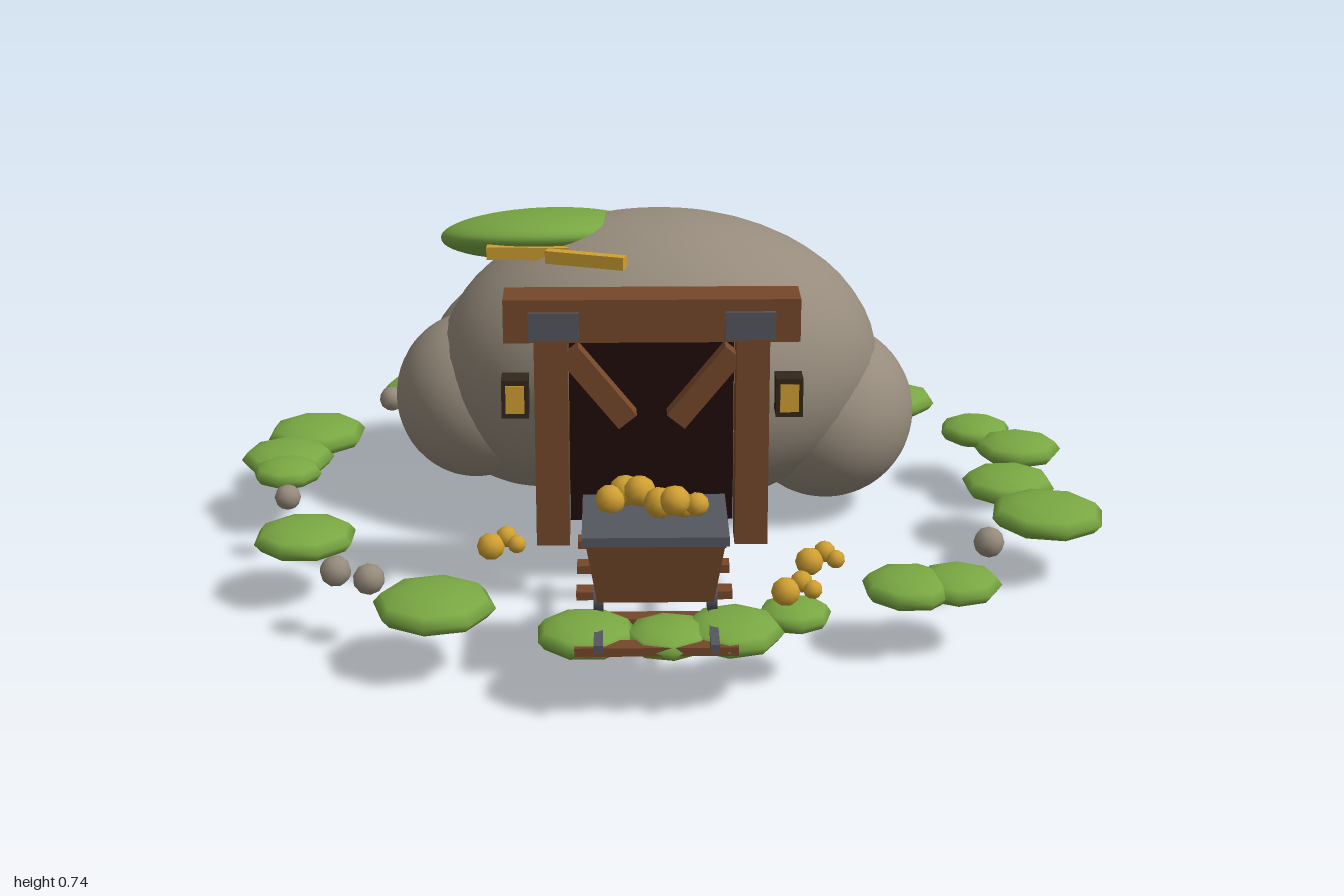
import * as THREE from 'three';

const mat = (name, color, extra = {}) => {
  const m = new THREE.MeshStandardMaterial({ color, ...extra });
  m.name = name;
  return m;
};

export function createModel() {
  const stone = mat('stone', 0x968b7c);
  const grass = mat('grass', 0x7aa843);
  const wood = mat('wood', 0x75482a);
  const iron = mat('iron', 0x54575f);
  const dark = mat('tunnelDark', 0x210b0b);
  const casing = mat('lanternCasing', 0x33271c);
  const gold = mat('gold', 0xd0a032);
  const model = new THREE.Group();
  const CX = -0.025; // shared centre line of portal, rails and cart

  const add = (name, geo, material, pos, rot = [0, 0, 0], scale = [1, 1, 1], parent = model) => {
    const m = new THREE.Mesh(geo, material);
    m.name = name;
    m.position.set(...pos);
    m.rotation.set(...rot);
    m.scale.set(...scale);
    parent.add(m);
    return m;
  };
  const box = (name, material, size, pos, rot) =>
    add(name, new THREE.BoxGeometry(...size), material, pos, rot);

  // Hill made of merged boulders: centre, radii
  const ball = new THREE.SphereGeometry(1, 40, 28);
  [
    [[0, 0.385, -0.23], [0.52, 0.355, 0.39]],
    [[0.4, 0.25, -0.23], [0.212, 0.21, 0.23]],
    [[-0.44, 0.29, -0.24], [0.19, 0.2, 0.19]],
    [[-0.285, 0.28, -0.41], [0.29, 0.275, 0.28]],
    [[0.23, 0.29, -0.46], [0.24, 0.26, 0.235]],
    [[0.06, 0.3, -0.55], [0.16, 0.17, 0.155]],
    [[0.39, 0.24, -0.35], [0.18, 0.2, 0.17]],
    [[-0.11, 0.3, -0.54], [0.14, 0.16, 0.14]],
  ].forEach(([p, r]) => add('boulder', ball, stone, p, [0, 0, 0], r));

  // Grass cap and gold bars on top of the hill
  add('grassCap', ball, grass, [-0.275, 0.665, -0.33], [-0.2, 0, 0.04], [0.245, 0.06, 0.225]);
  box('goldBar', gold, [0.19, 0.03, 0.025], [-0.305, 0.675, -0.12], [0, -0.05, 0]);
  box('goldBar', gold, [0.19, 0.03, 0.025], [-0.17, 0.683, -0.03], [0, -0.34, 0]);

  // Mine portal
  box('tunnelOpening', dark, [0.36, 0.43, 0.035], [CX, 0.385, 0.265]);
  box('lintel', wood, [0.635, 0.095, 0.1], [CX, 0.66, 0.325]);
  for (const s of [-1, 1]) {
    box('post', wood, [0.072, 0.47, 0.085], [CX + s * 0.217, 0.38, 0.328]);
    box('brace', wood, [0.05, 0.2, 0.045], [CX + s * 0.115, 0.5, 0.325], [0, 0, -s * 0.68]);
    box('ironPlate', iron, [0.108, 0.062, 0.012], [CX + s * 0.21, 0.65, 0.377]);
    box('lanternCase', casing, [0.058, 0.085, 0.055], [CX + s * 0.293, 0.5, 0.39]);
    box('lanternGlass', gold, [0.04, 0.062, 0.061], [CX + s * 0.293, 0.5, 0.39]);
  }

  // Track
  for (const s of [-1, 1])
    box('rail', iron, [0.018, 0.018, 0.65], [CX + s * 0.115, 0.172, 0.65]);
  for (let i = 0; i < 5; i++)
    box('sleeper', wood, [0.325, 0.018, 0.04], [CX, 0.155, 0.375 + i * 0.139]);

  // Ore cart: tapered tub, rim and wheels
  const tub = new THREE.BoxGeometry(0.28, 0.135, 0.225);
  const tp = tub.attributes.position;
  for (let i = 0; i < tp.count; i++)
    if (tp.getY(i) < 0) tp.setXYZ(i, tp.getX(i) * 0.84, tp.getY(i), tp.getZ(i) * 0.84);
  tub.computeVertexNormals();
  add('cartTub', tub, wood, [CX, 0.272, 0.725]);
  box('cartRim', iron, [0.295, 0.02, 0.24], [CX, 0.345, 0.725]);
  const wheel = new THREE.CylinderGeometry(0.028, 0.028, 0.02, 12).rotateZ(Math.PI / 2);
  const axle = new THREE.CylinderGeometry(0.009, 0.009, 0.22, 8).rotateZ(Math.PI / 2);
  for (const z of [0.66, 0.79]) {
    add('axle', axle, iron, [CX, 0.202, z]);
    for (const s of [-1, 1]) add('wheel', wheel, iron, [CX + s * 0.115, 0.204, z]);
  }

  // Gold nuggets in the cart: x, z, radius
  const nugget = new THREE.IcosahedronGeometry(1, 1);
  [
    [-0.115, 0.685, 0.032], [-0.085, 0.665, 0.033], [-0.055, 0.7, 0.033], [-0.025, 0.69, 0.024],
    [-0.015, 0.735, 0.033], [0.015, 0.755, 0.032], [0.035, 0.72, 0.026], [0.06, 0.745, 0.025],
  ].forEach(([x, z, r], i) =>
    add('cartNugget', nugget, gold, [x, 0.375 + (i % 3) * 0.012, z], [i, i * 2, 0], [r, r, r]));

  // Gold piles on the ground
  for (const [x, z] of [[-0.355, 0.525], [0.315, 0.62], [0.255, 0.778]])
    [[-0.015, 0.21, 0.005, 0.03], [0.018, 0.225, -0.012, 0.023], [0.04, 0.215, 0.006, 0.02]].forEach(
      ([dx, y, dz, r], i) => add('groundNugget', nugget, gold, [x + dx, y, z + dz], [i, i, 0], [r, r, r]));

  // Ring of grass clumps: x, z, radius
  const clump = new THREE.SphereGeometry(1, 8, 6);
  [
    [-0.15, -0.875, 0.105], [0.18, -0.87, 0.115], [0.4, -0.8, 0.108], [0.455, -0.695, 0.1],
    [0.61, -0.575, 0.1], [0.785, -0.34, 0.088], [0.87, -0.21, 0.1], [0.81, 0.03, 0.108],
    [0.87, 0.225, 0.128], [0.615, 0.615, 0.092], [0.51, 0.63, 0.1], [0.26, 0.765, 0.075],
    [0.13, 0.845, 0.105], [-0.165, 0.855, 0.102], [0, 0.87, 0.09], [-0.48, 0.705, 0.128],
    [-0.79, 0.33, 0.112], [-0.89, -0.175, 0.11], [-0.88, -0.08, 0.08], [-0.84, -0.345, 0.12],
    [-0.59, -0.675, 0.115],
  ].forEach(([x, z, r], i) =>
    add('grassClump', clump, grass, [x, 0.152, z], [0, i * 1.3, 0], [r, 0.02 + r * 0.16, r * 1.03]));

  // Loose stones: x, z, radius
  const pebble = new THREE.IcosahedronGeometry(1, 1);
  [
    [-0.04, -0.86, 0.052], [-0.45, -0.75, 0.032], [-0.675, -0.58, 0.032], [-0.855, 0.11, 0.03],
    [-0.7, 0.545, 0.034], [-0.625, 0.59, 0.034], [0.71, 0.41, 0.034],
  ].forEach(([x, z, r], i) => add('looseStone', pebble, stone, [x, 0.162, z], [i, i, 0], [r, r, r]));

  return model;
}
